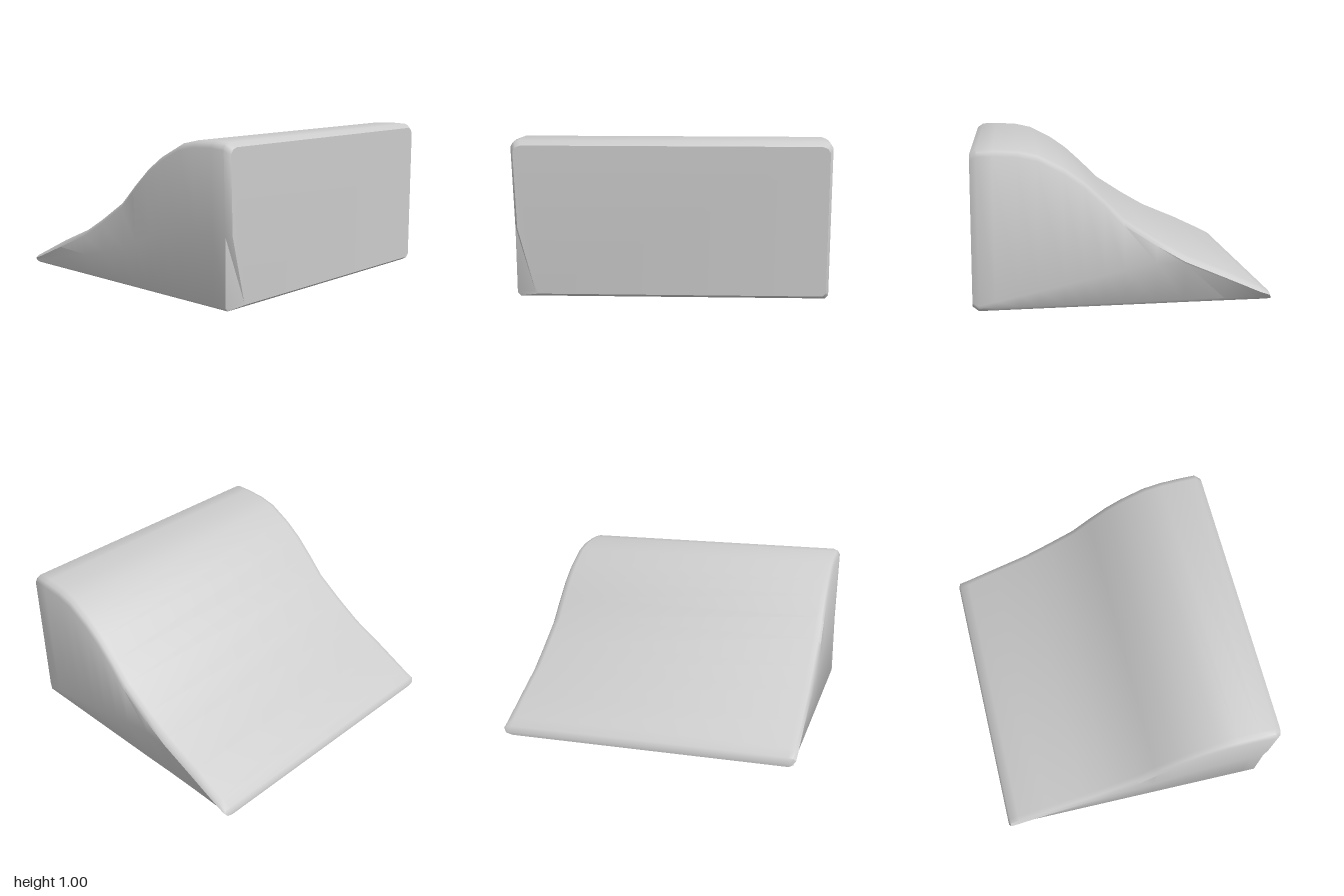
import * as THREE from 'three';
import { toCreasedNormals } from 'three/addons/utils/BufferGeometryUtils.js';

// Slope profile from front to back: [z, top height]
const PROFILE = [
  [0.94, 0.97], [0.9, 0.997], [0.8, 1], [0.65, 0.993], [0.53, 0.967], [0.37, 0.885],
  [0.25, 0.8], [0.12, 0.68], [0, 0.56], [-0.2, 0.43], [-0.38, 0.325], [-0.64, 0.215],
  [-0.86, 0.11], [-0.925, 0.075], [-0.94, 0.04],
];

// One cross-section, anticlockwise seen from the front
function section(z, h, i) {
  const front = i === 0, back = i === PROFILE.length - 1;
  const t = (0.94 - z) / 1.88;                  // 0 at the front, 1 at the back
  const inset = front || back ? 0.02 : 0;
  const y0 = 0.02 * t + (front ? 0.025 : 0);
  const e = Math.min(0.04, (h - y0) / 3);       // softened edge size
  const L = -0.99 + 0.02 * t + inset;
  const R = 0.99 - 0.02 * Math.max(0, t - 0.6) - inset;
  const fold = Math.min(h - e * 1.3, y0 + e * 0.7 + 0.4 * t);   // crease on the left side
  const foldL = y0 + (h - y0) * 0.45;
  const tuck = 0.025 * Math.min(1, t * 1.4);
  const cut = front ? 0.1 : 0;                  // chipped lower front corner
  return [
    [L + 0.03 + cut, y0], [R - 0.02 - tuck, y0],
    [R - tuck, y0 + e * 0.5], [R, fold], [R + 0.005, h - e],
    [R - 0.012, h - e * 0.3], [R - 0.045, h],
    [L + 0.045, h], [L + 0.012, h - e * 0.3], [L - 0.005, h - e],
    [L + 0.01, foldL], [L + 0.012 + cut, y0 + e * 0.5],
  ].map(([x, y]) => [x, y, z]);
}

// Skin the cross-sections and close both ends
function wedgeGeometry() {
  const rings = PROFILE.map(([z, h], i) => section(z, h, i));
  const n = rings[0].length;
  const index = [];
  for (let r = 0; r < rings.length - 1; r++) {
    for (let k = 0; k < n; k++) {
      const a = r * n + k, b = r * n + (k + 1) % n;
      index.push(a, a + n, b, b, a + n, b + n);
    }
  }
  const last = (rings.length - 1) * n;
  for (let k = 1; k < n - 1; k++) {
    index.push(0, k, k + 1);
    index.push(last, last + k + 1, last + k);
  }
  const geometry = new THREE.BufferGeometry();
  geometry.setAttribute('position', new THREE.Float32BufferAttribute(rings.flat(2), 3));
  geometry.setIndex(index);
  return toCreasedNormals(geometry, 0.75);
}

export function createModel() {
  const group = new THREE.Group();
  group.name = 'curvedRamp';
  const grey = new THREE.MeshStandardMaterial({ color: 0xcccccc });
  grey.name = 'light grey';
  const body = new THREE.Mesh(wedgeGeometry(), grey);
  body.name = 'rampBody';
  group.add(body);
  return group;
}
